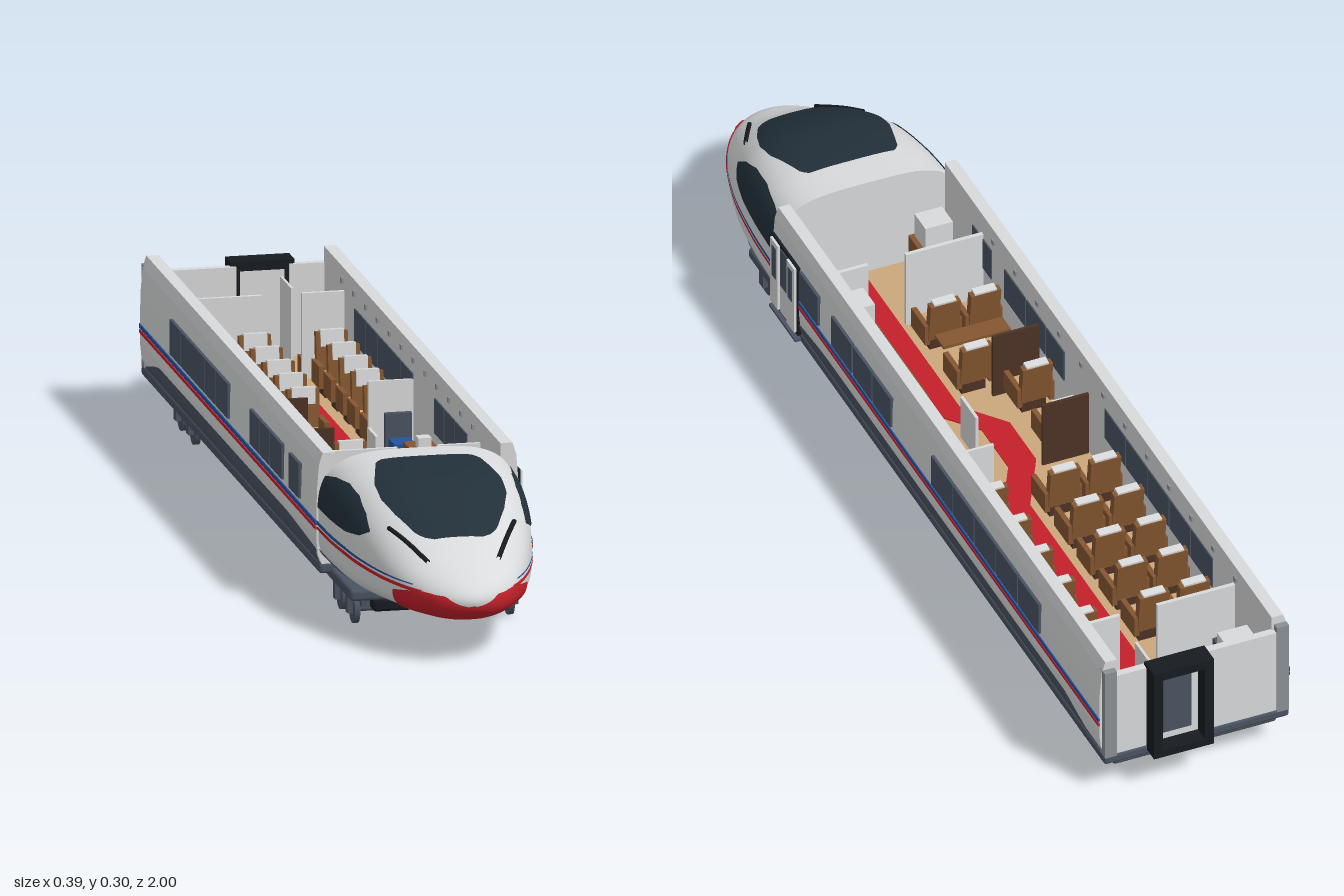
import * as THREE from 'three';
import { ParametricGeometry } from 'three/addons/geometries/ParametricGeometry.js';
import { RoundedBoxGeometry } from 'three/addons/geometries/RoundedBoxGeometry.js';

const COLORS = {
  white: 0xd9dadb, glass: 0x22303a, slate: 0x4a5362, red: 0xc4202a, blue: 0x23539f,
  tan: 0xcba67c, brown: 0x855630, darkBrown: 0x4d3226, grey: 0x8b9095, black: 0x171b20,
};
const M = {};
for (const [name, color] of Object.entries(COLORS)) {
  M[name] = new THREE.MeshStandardMaterial({ color, side: THREE.DoubleSide });
  M[name].name = name;
}

// Nose sections: z, half width, top, bottom, height of widest point, upper and lower roundness
const Z0 = 0.53, LEN = 0.47;
const KEYS = [
  [0.53, 0.186, 0.293, 0.075, 0.15, 3.6, 4],
  [0.63, 0.181, 0.291, 0.075, 0.145, 3.4, 4],
  [0.73, 0.169, 0.279, 0.075, 0.14, 3.0, 4],
  [0.80, 0.153, 0.252, 0.075, 0.134, 2.7, 3.6],
  [0.86, 0.134, 0.217, 0.076, 0.128, 2.5, 3.2],
  [0.92, 0.106, 0.179, 0.077, 0.122, 2.3, 2.8],
  [0.97, 0.068, 0.153, 0.082, 0.118, 2.1, 2.4],
  [1.0, 0, 0.117, 0.117, 0.117, 2, 2],
];
const toT = z => Math.asin(Math.min(1, Math.max(0, (z - Z0) / LEN))) * 2 / Math.PI;
const toZ = t => Z0 + LEN * Math.sin(t * Math.PI / 2);
const KT = KEYS.map(k => toT(k[0]));

// Smooth interpolation through the nose sections
function section(z) {
  const t = toT(z), last = KEYS.length - 1;
  let i = 0;
  while (i < last - 1 && t > KT[i + 1]) i++;
  const h = KT[i + 1] - KT[i], u = (t - KT[i]) / h;
  const slope = (k, j) => {
    const a = Math.max(0, k - 1), b = Math.min(last, k + 1);
    return (KEYS[b][j] - KEYS[a][j]) / (KT[b] - KT[a]);
  };
  const f = j => {
    const p = KEYS[i][j], q = KEYS[i + 1][j], u2 = u * u, u3 = u2 * u;
    return p * (2 * u3 - 3 * u2 + 1) + q * (3 * u2 - 2 * u3)
      + h * (slope(i, j) * (u3 - 2 * u2 + u) + slope(i + 1, j) * (u3 - u2));
  };
  return { w: Math.max(0, f(1)), top: f(2), bot: f(3), c: f(4), nu: f(5), nl: f(6) };
}
const pw = (v, e) => Math.sign(v) * Math.pow(Math.abs(v), e);
function nosePoint(z, a, off, out) {
  const s = section(z), sn = Math.sin(a), n = sn > 0 ? s.nu : s.nl;
  const h = (sn > 0 ? s.top - s.c : s.c - s.bot) + off;
  return out.set((s.w + off) * pw(Math.cos(a), 2 / n), s.c + h * pw(sn, 2 / n), z + (z > 0.97 ? off : 0));
}
function sideX(y, z) {
  const s = section(z), up = y > s.c, n = up ? s.nu : s.nl;
  const r = Math.min(1, up ? (y - s.c) / (s.top - s.c) : (s.c - y) / (s.c - s.bot));
  return s.w * Math.pow(1 - Math.pow(r, n), 1 / n);
}
function topY(x, z) {
  const s = section(z), r = Math.min(1, Math.abs(x) / s.w);
  return s.c + (s.top - s.c) * Math.pow(1 - Math.pow(r, s.nu), 1 / s.nu);
}
// Piecewise linear lookup in [key, value] pairs
function lookup(list, v) {
  for (let i = 1; i < list.length; i++) {
    const [a, p] = list[i - 1], [b, q] = list[i];
    if (v <= b) return p + (q - p) * Math.max(0, (v - a) / (b - a));
  }
  return list[list.length - 1][1];
}

export function createModel() {
  const root = new THREE.Group();
  const group = name => { const g = new THREE.Group(); g.name = name; root.add(g); return g; };
  const add = (g, name, geo, mat) => {
    const m = new THREE.Mesh(geo, M[mat]); m.name = name; g.add(m); return m;
  };
  // Box given by its lower and upper limits
  const box = (g, name, mat, x0, x1, y0, y1, z0, z1) => {
    const m = add(g, name, new THREE.BoxGeometry(x1 - x0, y1 - y0, z1 - z0), mat);
    m.position.set((x0 + x1) / 2, (y0 + y1) / 2, (z0 + z1) / 2);
    return m;
  };
  const surface = (g, name, mat, fn, nu, nv) => {
    const geo = new ParametricGeometry(fn, nu, nv);
    geo.computeVertexNormals();
    return add(g, name, geo, mat);
  };

  // Nose shell and bulkhead
  const nose = group('nose');
  surface(nose, 'noseShell', 'white', (u, v, p) => nosePoint(toZ(v), -Math.PI / 2 + u * 2 * Math.PI, 0, p), 96, 48);
  const rim = [];
  for (let i = 0; i < 64; i++) {
    const p = nosePoint(Z0, i / 32 * Math.PI, 0, new THREE.Vector3());
    rim.push(new THREE.Vector2(p.x, p.y));
  }
  add(nose, 'cabBulkhead', new THREE.ShapeGeometry(new THREE.Shape(rim)), 'white').position.z = Z0;

  // Red nose cap with a notch at the tip
  surface(nose, 'redNoseCap', 'red', (u, v, p) => {
    const z = toZ(toT(0.885) + v * (1 - toT(0.885))), s = section(z);
    const y = lookup([[0.885, 0.122], [0.95, 0.131], [0.985, 0.127], [1, 0.111]], z);
    const r = y > s.c ? (y - s.c) / (s.top - s.c + 1e-6) : (y - s.c) / (s.c - s.bot + 1e-6);
    const a = Math.asin(pw(Math.max(-1, Math.min(1, r)), (r > 0 ? s.nu : s.nl) / 2));
    nosePoint(z, a - u * (Math.PI + 2 * a), 0.003, p);
  }, 48, 24);

  // Windscreen
  const screen = [[0.6, 0.085], [0.612, 0.097], [0.7, 0.119], [0.75, 0.118], [0.8, 0.102], [0.85, 0.078], [0.866, 0.064], [0.875, 0.045]];
  surface(nose, 'windscreen', 'glass', (u, v, p) => {
    const z = 0.6 + 0.275 * v, x = (u * 2 - 1) * lookup(screen, z);
    p.set(x, topY(x, z) + 0.003, z);
  }, 28, 36);

  // Side glass, lower skirts, stripes and wipers on each side of the nose
  const sidePatch = (name, mat, s, z0, z1, lo, hi) => surface(nose, name, mat, (u, v, p) => {
    const z = z0 + (z1 - z0) * v, a = lookup(lo, z), y = a + (lookup(hi, z) - a) * u;
    p.set(s * (sideX(y, z) + 0.0025), y, z);
  }, 10, 30);
  for (const s of [1, -1]) {
    sidePatch('cabSideWindow', 'glass', s, 0.525, 0.785,
      [[0.525, 0.19], [0.7, 0.187], [0.76, 0.193], [0.785, 0.205]],
      [[0.525, 0.248], [0.58, 0.258], [0.64, 0.261], [0.7, 0.252], [0.75, 0.232], [0.785, 0.207]]);
    sidePatch('noseSkirt', 'slate', s, 0.53, 0.78, [[0.53, 0.079], [0.78, 0.079]], [[0.53, 0.112], [0.65, 0.105], [0.78, 0.082]]);
    sidePatch('noseBlueStripe', 'blue', s, 0.53, 0.93, [[0.53, 0.157], [0.7, 0.153], [0.93, 0.139]], [[0.53, 0.165], [0.7, 0.159], [0.93, 0.141]]);
    sidePatch('noseRedStripe', 'red', s, 0.53, 0.95, [[0.53, 0.148], [0.7, 0.143], [0.95, 0.127]], [[0.53, 0.154], [0.7, 0.15], [0.95, 0.133]]);
    const path = [0, 0.25, 0.5, 0.75, 1].map(k => {
      const x = 0.118 - 0.052 * k, z = 0.815 + 0.1 * k;
      return new THREE.Vector3(s * x, topY(x, z) + 0.003, z);
    });
    add(nose, 'wiper', new THREE.TubeGeometry(new THREE.CatmullRomCurve3(path), 16, 0.0045, 6), 'black');
  }

  // Side walls, cut open at the top
  const body = group('body');
  const ZB = -0.955;
  for (const s of [1, -1]) {
    const prof = [[0.155, 0.292], [0.178, 0.292], [0.185, 0.27], [0.189, 0.22], [0.19, 0.13], [0.187, 0.1], [0.177, 0.075], [0.155, 0.075]];
    const shape = new THREE.Shape(prof.map(([x, y]) => new THREE.Vector2(s * x, y)));
    add(body, 'sideWall', new THREE.ExtrudeGeometry(shape, { depth: Z0 - ZB, bevelEnabled: false }), 'white').position.z = ZB;
    const plate = (name, mat, y0, y1, z0, z1, x = 0.191, d = 0.003) => {
      const a = s * (x - d), b = s * (x + d);
      return box(body, name, mat, Math.min(a, b), Math.max(a, b), y0, y1, z0, z1);
    };
    const front = s > 0 ? 0.41 : Z0;
    plate('blueStripe', 'blue', 0.157, 0.165, ZB, front, 0.19, 0.002);
    plate('redStripe', 'red', 0.148, 0.154, ZB, front, 0.19, 0.002);
    // Dark lower band with sloped ends
    surface(body, 'lowerBand', 'slate', (u, v, p) => {
      const z = -0.935 + (front + 0.935) * v;
      const hi = lookup([[-0.935, 0.088], [-0.8, 0.122], [0.3, 0.124], [front, 0.112]], z);
      const y = 0.078 + (hi - 0.078) * u;
      p.set(s * (lookup([[0.075, 0.177], [0.1, 0.187], [0.13, 0.19]], y) + 0.002), y, z);
    }, 6, 30);
    // Window panes, seen from outside and inside
    const panes = [[0.315, 0.4], [0.16, 0.255], [0.07, 0.155], [-0.015, 0.065]];
    for (let i = 0; i < 5; i++) panes.push([-0.295 - i * 0.0985, -0.2 - i * 0.0985]);
    for (const [a, b] of panes) {
      plate('windowPane', 'slate', 0.174, 0.24, a, b);
      plate('innerWindowPane', 'slate', 0.174, 0.24, a, b, 0.1545, 0.002);
    }
    for (let i = 0; i < 12; i++) plate('wallLamp', 'grey', 0.262, 0.272, 0.3 - i * 0.1, 0.312 - i * 0.1, 0.154, 0.003);
    // Rear corner post
    box(body, 'rearCornerPost', 'grey', s * 0.172 - 0.012, s * 0.172 + 0.012, 0.08, 0.275, -0.968, -0.945);
  }

  // Boarding door on the left side
  const door = group('boardingDoor');
  box(door, 'doorFrame', 'black', 0.185, 0.193, 0.085, 0.24, 0.408, 0.528);
  for (const [a, b] of [[0.414, 0.448], [0.488, 0.522]]) {
    box(door, 'doorLeaf', 'white', 0.186, 0.198, 0.09, 0.236, a, b);
    box(door, 'doorLeafWindow', 'slate', 0.197, 0.199, 0.155, 0.225, a + 0.008, b - 0.008);
  }
  box(door, 'doorCentre', 'white', 0.186, 0.195, 0.09, 0.15, 0.452, 0.484);
  box(door, 'doorCentreWindow', 'slate', 0.186, 0.195, 0.15, 0.234, 0.452, 0.484);
  box(door, 'doorStep', 'slate', 0.16, 0.197, 0.07, 0.075, 0.41, 0.53);

  // Rear wall and offset gangway
  const rear = group('rearEnd');
  box(rear, 'rearWallRight', 'white', -0.165, -0.01, 0.08, 0.262, -0.965, -0.95);
  box(rear, 'rearWallLeft', 'white', 0.09, 0.165, 0.08, 0.262, -0.965, -0.95);
  box(rear, 'gangwayLintel', 'black', -0.02, 0.1, 0.252, 0.27, -1, -0.955);
  box(rear, 'gangwaySill', 'black', -0.02, 0.1, 0.075, 0.09, -1, -0.955);
  for (const x of [-0.02, 0.082]) box(rear, 'gangwayJamb', 'black', x, x + 0.018, 0.075, 0.27, -1, -0.955);
  box(rear, 'gangwayDoor', 'white', -0.005, 0.085, 0.09, 0.255, -0.967, -0.957);
  box(rear, 'gangwayDoorWindow', 'slate', 0.012, 0.068, 0.105, 0.24, -0.969, -0.966);

  // Underframe
  const under = group('underframe');
  const rounded = (name, mat, w, h, d, y, z) =>
    add(under, name, new RoundedBoxGeometry(w, h, d, 2, h * 0.3), mat).position.set(0, y, z);
  rounded('floorSlab', 'slate', 0.37, 0.02, 1.5, 0.074, -0.218);
  rounded('chassis', 'slate', 0.328, 0.022, 1.66, 0.063, -0.13);
  rounded('bellyPan', 'slate', 0.29, 0.014, 1.2, 0.051, -0.07);
  for (const z of [0.597, -0.743]) {
    rounded('bogieBlock', 'black', 0.24, 0.024, 0.2, 0.041, z);
    for (const dz of [0.0525, -0.0525]) {
      const axle = add(under, 'axle', new THREE.CylinderGeometry(0.006, 0.006, 0.29, 10), 'slate');
      axle.rotation.z = Math.PI / 2; axle.position.set(0, 0.027, z + dz);
      for (const s of [1, -1]) {
        const wheel = add(under, 'wheel', new THREE.CylinderGeometry(0.027, 0.027, 0.01, 24), 'slate');
        wheel.rotation.z = Math.PI / 2; wheel.position.set(s * 0.145, 0.027, z + dz);
        box(under, 'axleBox', 'slate', s * 0.155 - 0.005, s * 0.155 + 0.005, 0.02, 0.055, z + dz - 0.01, z + dz + 0.01);
      }
    }
    for (const s of [1, -1]) box(under, 'bogieBeam', 'slate', s * 0.13 - 0.008, s * 0.13 + 0.008, 0.035, 0.05, z - 0.08, z + 0.08);
  }

  // Floor and bending carpet
  const inside = group('interior');
  box(inside, 'floor', 'tan', -0.156, 0.156, 0.08, 0.088, -0.953, Z0);
  const lane = [[-0.95, 0.037], [-0.23, 0.037], [-0.11, -0.028], [0.01, -0.028], [0.09, 0.037], [Z0, 0.037]];
  const edge = d => lane.map(([z, x]) => new THREE.Vector2(x + d, -z));
  const carpet = new THREE.Shape([...edge(-0.028), ...edge(0.028).reverse()]);
  const runner = add(inside, 'carpet', new THREE.ExtrudeGeometry(carpet, { depth: 0.003, bevelEnabled: false }), 'red');
  runner.rotation.x = -Math.PI / 2; runner.position.y = 0.087;

  // Seats facing forward
  const seat = (x, z) => {
    const g = new THREE.Group(); g.name = 'seat'; inside.add(g); g.position.set(x, 0.088, z);
    box(g, 'seatBase', 'darkBrown', -0.024, 0.024, 0, 0.025, -0.02, 0.024);
    box(g, 'seatCushion', 'tan', -0.026, 0.026, 0.025, 0.042, -0.025, 0.035);
    box(g, 'seatBack', 'brown', -0.03, 0.03, 0.03, 0.112, -0.035, -0.02).rotation.x = -0.12;
    box(g, 'headrest', 'white', -0.022, 0.022, 0.085, 0.116, -0.037, -0.02).rotation.x = -0.12;
    for (const s of [1, -1]) box(g, 'armrest', 'brown', s * 0.032 - 0.005, s * 0.032 + 0.005, 0.02, 0.062, -0.03, 0.034);
  };
  for (const z of [-0.66, -0.56, -0.46, -0.36, -0.255]) for (const x of [-0.115, -0.034, 0.11]) seat(x, z);
  for (const z of [0.145, 0.29]) for (const x of [-0.115, -0.034]) seat(x, z);
  for (const z of [-0.075, 0.05]) seat(-0.113, z);
  box(inside, 'table', 'brown', -0.14, -0.005, 0.143, 0.149, 0.195, 0.235);
  box(inside, 'tableLeg', 'darkBrown', -0.08, -0.07, 0.088, 0.143, 0.21, 0.22);
  for (const z of [-0.13, 0.095]) box(inside, 'woodDivider', 'darkBrown', -0.153, -0.06, 0.088, 0.225, z, z + 0.006);

  // Partitions with doorways at the aisle
  for (const z of [-0.785, 0.358]) {
    box(inside, 'partitionRight', 'white', -0.155, -0.0, 0.088, 0.25, z - 0.004, z + 0.004);
    box(inside, 'partitionLeft', 'white', 0.075, 0.155, 0.088, 0.25, z - 0.004, z + 0.004);
  }
  box(inside, 'washroomWall', 'white', 0.072, 0.077, 0.088, 0.24, -0.95, -0.86);
  box(inside, 'barScreen', 'white', 0.07, 0.155, 0.088, 0.23, -0.205, -0.199);
  box(inside, 'barSideScreen', 'white', 0.037, 0.043, 0.088, 0.18, -0.06, 0.01);

  // Kitchen counter, bar stand and appliances
  box(inside, 'counter', 'grey', 0.085, 0.153, 0.088, 0.145, 0.07, 0.345);
  box(inside, 'counterTop', 'brown', 0.08, 0.154, 0.145, 0.152, 0.07, 0.35);
  box(inside, 'fridge', 'white', 0.09, 0.15, 0.152, 0.21, 0.29, 0.345);
  box(inside, 'coffeeMachine', 'black', 0.1, 0.14, 0.152, 0.18, 0.16, 0.195);
  for (const z of [0.235, 0.262]) for (const x of [0.108, 0.13]) box(inside, 'hob', 'black', x - 0.006, x + 0.006, 0.152, 0.154, z - 0.006, z + 0.006);
  box(inside, 'barStand', 'brown', 0.1, 0.153, 0.088, 0.155, -0.04, 0.055);
  box(inside, 'barTill', 'white', 0.115, 0.14, 0.155, 0.175, -0.005, 0.02);
  box(inside, 'bluePassengerSeat', 'blue', 0.1, 0.14, 0.11, 0.13, -0.165, -0.115);
  box(inside, 'bluePassengerSeatBack', 'slate', 0.095, 0.145, 0.088, 0.175, -0.18, -0.168);

  // Luggage and washroom fittings at both ends
  box(inside, 'rearCabinet', 'brown', -0.152, -0.065, 0.088, 0.12, -0.94, -0.86);
  box(inside, 'rearBasin', 'white', -0.145, -0.085, 0.12, 0.215, -0.92, -0.865);
  box(inside, 'rearStool', 'slate', -0.145, -0.105, 0.088, 0.15, -0.835, -0.8);
  box(inside, 'toilet', 'white', 0.11, 0.14, 0.088, 0.13, -0.93, -0.88);
  box(inside, 'rearBench', 'brown', 0.08, 0.152, 0.088, 0.12, -0.84, -0.795);
  box(inside, 'frontCabinet', 'brown', -0.152, -0.08, 0.088, 0.15, 0.41, 0.525);
  box(inside, 'frontLocker', 'white', -0.145, -0.09, 0.15, 0.2, 0.47, 0.52);
  box(inside, 'frontStool', 'slate', -0.135, -0.105, 0.15, 0.165, 0.42, 0.45);
  return root;
}
